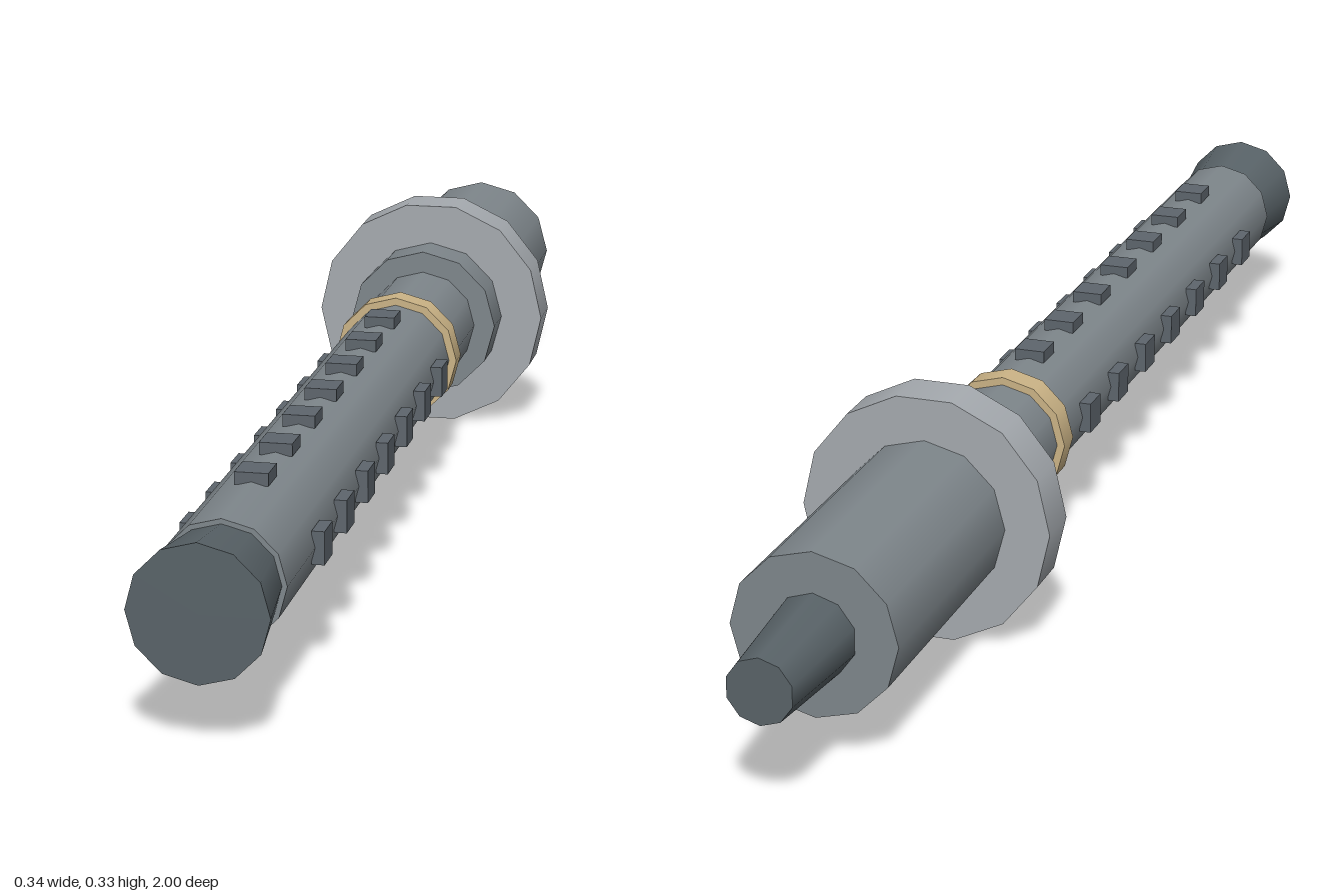
import * as THREE from 'three';

const AXIS_Y = 0.165;

function material(name, color) {
  const m = new THREE.MeshStandardMaterial({ color });
  m.name = name;
  return m;
}

export function createModel() {
  const group = new THREE.Group();
  const steel = material('steel grey', 0x7f878c);
  const paleSteel = material('pale steel', 0xa6abb0);
  const darkSteel = material('dark steel', 0x596368);
  const stud = material('stud grey', 0x5e666d);
  const brass = material('brass', 0xcdb587);

  // Closed cylinder or cone lying along z, from back to front
  function tube(name, mat, back, front, rBack, rFront, sides, turn = 0) {
    const g = new THREE.CylinderGeometry(rFront, rBack, front - back, sides);
    g.rotateX(Math.PI / 2);
    g.rotateZ(turn);
    const mesh = new THREE.Mesh(g, mat);
    mesh.name = name;
    mesh.position.set(0, AXIS_Y, (front + back) / 2);
    group.add(mesh);
  }

  tube('muzzle', darkSteel, 0.885, 1, 0.071, 0.085, 12);
  tube('barrel', steel, -0.34, 0.886, 0.0775, 0.0775, 12);
  tube('brassBand', brass, -0.17, -0.134, 0.088, 0.088, 12);
  tube('body', steel, -0.838, -0.338, 0.108, 0.108, 12);
  tube('flange', paleSteel, -0.466, -0.4, 0.168, 0.168, 14, Math.PI / 2);
  tube('tail', darkSteel, -1, -0.836, 0.043, 0.055, 10);

  // Four rows of raised studs along the barrel
  const studGeometry = new THREE.BoxGeometry(0.042, 0.016, 0.044);
  for (let row = 0; row < 4; row++) {
    const studRow = new THREE.Group();
    studRow.name = 'studRow';
    studRow.position.y = AXIS_Y;
    studRow.rotation.z = row * Math.PI / 2;
    for (let i = 0; i < 7; i++) {
      const mesh = new THREE.Mesh(studGeometry, stud);
      mesh.name = 'stud';
      mesh.position.set(0, 0.081, -0.039 + i * 0.1262);
      studRow.add(mesh);
    }
    group.add(studRow);
  }
  return group;
}
